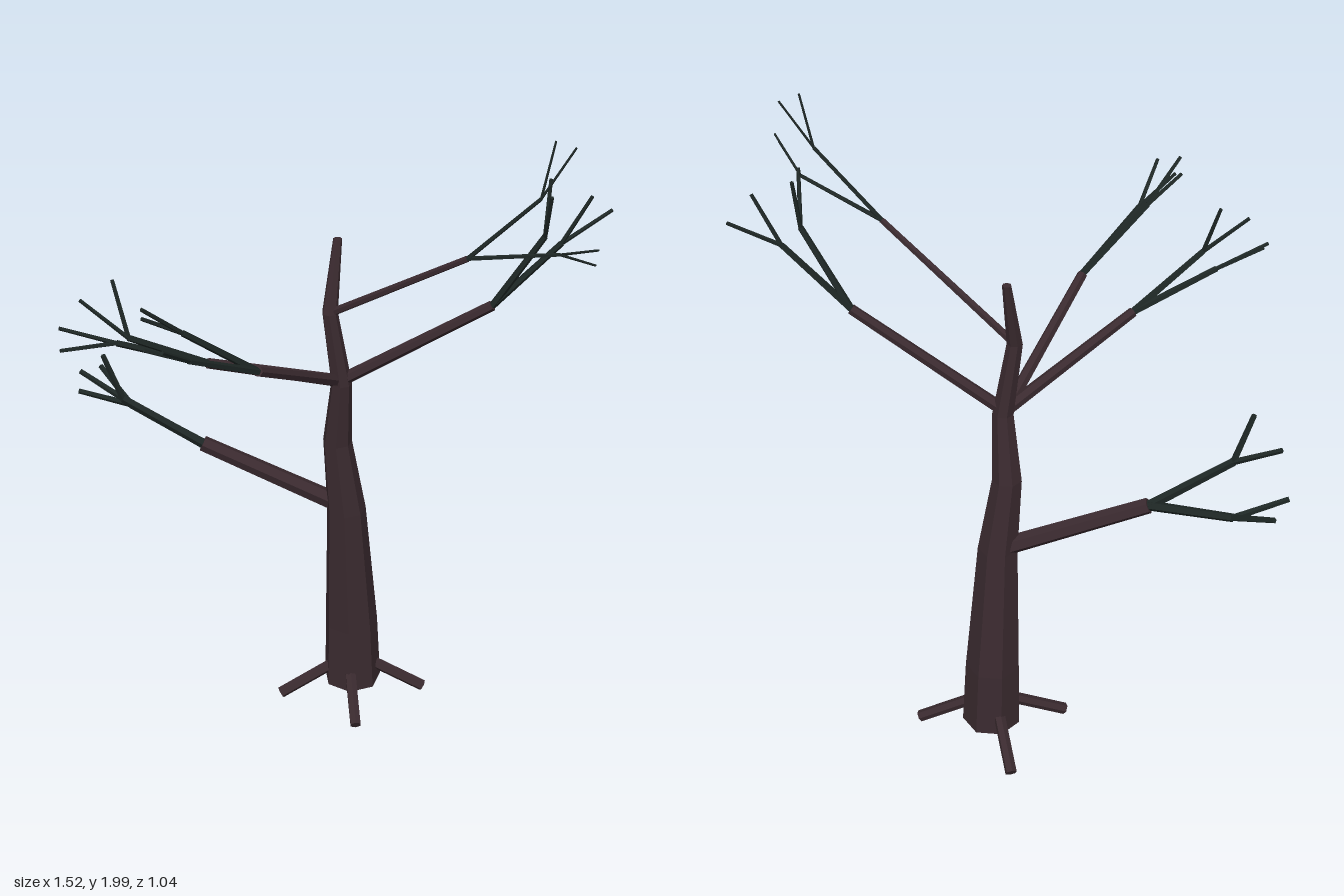
import * as THREE from 'three';

const V = (p) => new THREE.Vector3(...p);
const bark = new THREE.MeshStandardMaterial({ color: 0x3a2a2f, flatShading: true });
const twigBark = new THREE.MeshStandardMaterial({ color: 0x1e2725, flatShading: true });

// Tapered low-poly limb between two points
function limb(name, from, to, r0, r1, material, sides = 6) {
  const a = V(from), dir = V(to).sub(a);
  const geo = new THREE.CylinderGeometry(r1, r0, dir.length(), sides);
  geo.translate(0, dir.length() / 2, 0);
  const mesh = new THREE.Mesh(geo, material);
  mesh.position.copy(a);
  mesh.quaternion.setFromUnitVectors(new THREE.Vector3(0, 1, 0), dir.normalize());
  mesh.name = name;
  return mesh;
}

// Crooked trunk: horizontal rings [x, y, z, radius], closed at both ends
function trunk() {
  const rings = [
    [0.075, 0.05, -0.15, 0.09],
    [0.07, 0.27, -0.148, 0.083],
    [0.05, 0.7, -0.125, 0.06],
    [0.022, 0.94, -0.118, 0.044],
    [0.03, 1.15, -0.09, 0.031],
    [-0.003, 1.38, -0.09, 0.023],
    [0.024, 1.59, -0.13, 0.013],
  ];
  const n = 7, pos = [], idx = [];
  for (const [x, y, z, r] of rings)
    for (let i = 0; i < n; i++) {
      const t = (i / n) * Math.PI * 2;
      pos.push(x + r * Math.cos(t), y, z + r * Math.sin(t));
    }
  for (let k = 0; k < rings.length - 1; k++)
    for (let i = 0; i < n; i++) {
      const a = k * n + i, b = k * n + (i + 1) % n;
      idx.push(a, a + n, b, b, a + n, b + n);
    }
  const top = (rings.length - 1) * n;
  for (let i = 1; i < n - 1; i++) idx.push(0, i, i + 1, top, top + i + 1, top + i);
  const geo = new THREE.BufferGeometry();
  geo.setAttribute('position', new THREE.Float32BufferAttribute(pos, 3));
  geo.setIndex(idx);
  geo.computeVertexNormals();
  const mesh = new THREE.Mesh(geo, bark);
  mesh.name = 'trunk';
  return mesh;
}

// Each branch splits into two forks, each fork into two twigs
const branches = [
  {
    name: 'lowerLeftBranch', from: [0.03, 0.71, -0.14], to: [-0.37, 0.895, -0.235],
    r: [0.029, 0.024, 0.014, 0.009],
    forks: [
      { to: [-0.575, 0.955, -0.395], tips: [[-0.66, 1.03, -0.515], [-0.73, 1.01, -0.4]] },
      { to: [-0.6, 1.05, -0.263], tips: [[-0.72, 1.12, -0.32], [-0.65, 1.2, -0.257]] },
    ],
  },
  {
    name: 'upperLeftBranch', from: [0.02, 1.16, -0.09], to: [-0.365, 1.34, 0.095],
    r: [0.019, 0.015, 0.01, 0.006],
    forks: [
      { to: [-0.578, 1.475, 0.18], tips: [[-0.7, 1.585, 0.16], [-0.612, 1.63, 0.142]] },
      { to: [-0.61, 1.44, 0.138], tips: [[-0.76, 1.503, 0.155], [-0.76, 1.46, 0.203]] },
    ],
  },
  {
    name: 'frontLeftBranch', from: [0.02, 1.16, -0.09], to: [-0.24, 1.385, 0.245],
    r: [0.018, 0.015, 0.01, 0.006],
    forks: [
      { to: [-0.44, 1.555, 0.328], tips: [[-0.545, 1.665, 0.4], [-0.545, 1.625, 0.372]] },
      { to: [-0.43, 1.51, 0.4], tips: [[-0.545, 1.58, 0.46], [-0.502, 1.6, 0.518]] },
    ],
  },
  {
    name: 'rightBranch', from: [0.03, 1.16, -0.09], to: [0.437, 1.44, 0.043],
    r: [0.019, 0.015, 0.01, 0.006],
    forks: [
      { to: [0.615, 1.635, 0.077], tips: [[0.755, 1.72, 0.063], [0.685, 1.78, 0.103]] },
      { to: [0.56, 1.67, 0.105], tips: [[0.555, 1.815, 0.177], [0.575, 1.825, 0.075]] },
    ],
  },
  {
    name: 'topBranch', from: [0, 1.38, -0.09], to: [0.336, 1.645, 0.165],
    r: [0.012, 0.009, 0.006, 0.0035],
    forks: [
      { to: [0.51, 1.84, 0.24], tips: [[0.54, 2, 0.243], [0.595, 1.98, 0.245]] },
      { to: [0.55, 1.715, 0.32], tips: [[0.605, 1.75, 0.468], [0.615, 1.783, 0.45]] },
    ],
  },
];

function branch({ name, from, to, r, forks }) {
  const group = new THREE.Group();
  group.name = name;
  group.add(limb('bough', from, to, r[0], r[1], bark));
  for (const fork of forks) {
    group.add(limb('fork', to, fork.to, r[2] * 1.1, r[2] * 0.9, twigBark, 5));
    for (const tip of fork.tips)
      group.add(limb('twig', fork.to, tip, r[3] * 1.1, r[3] * 0.9, twigBark, 5));
  }
  return group;
}

export function createModel() {
  const tree = new THREE.Group();
  tree.name = 'bareTree';
  tree.add(trunk());

  // Four roots sloping out from the foot of the trunk
  const roots = [
    [[0.13, 0.115, -0.135], [0.295, 0.025, -0.1]],
    [[0.02, 0.115, -0.14], [-0.158, 0.025, -0.12]],
    [[0.06, 0.115, -0.21], [0.042, 0.025, -0.38]],
    [[0.06, 0.115, -0.09], [0.055, 0.025, 0.075]],
  ];
  for (const [from, to] of roots) tree.add(limb('root', from, to, 0.018, 0.018, bark));

  for (const b of branches) tree.add(branch(b));
  return tree;
}
